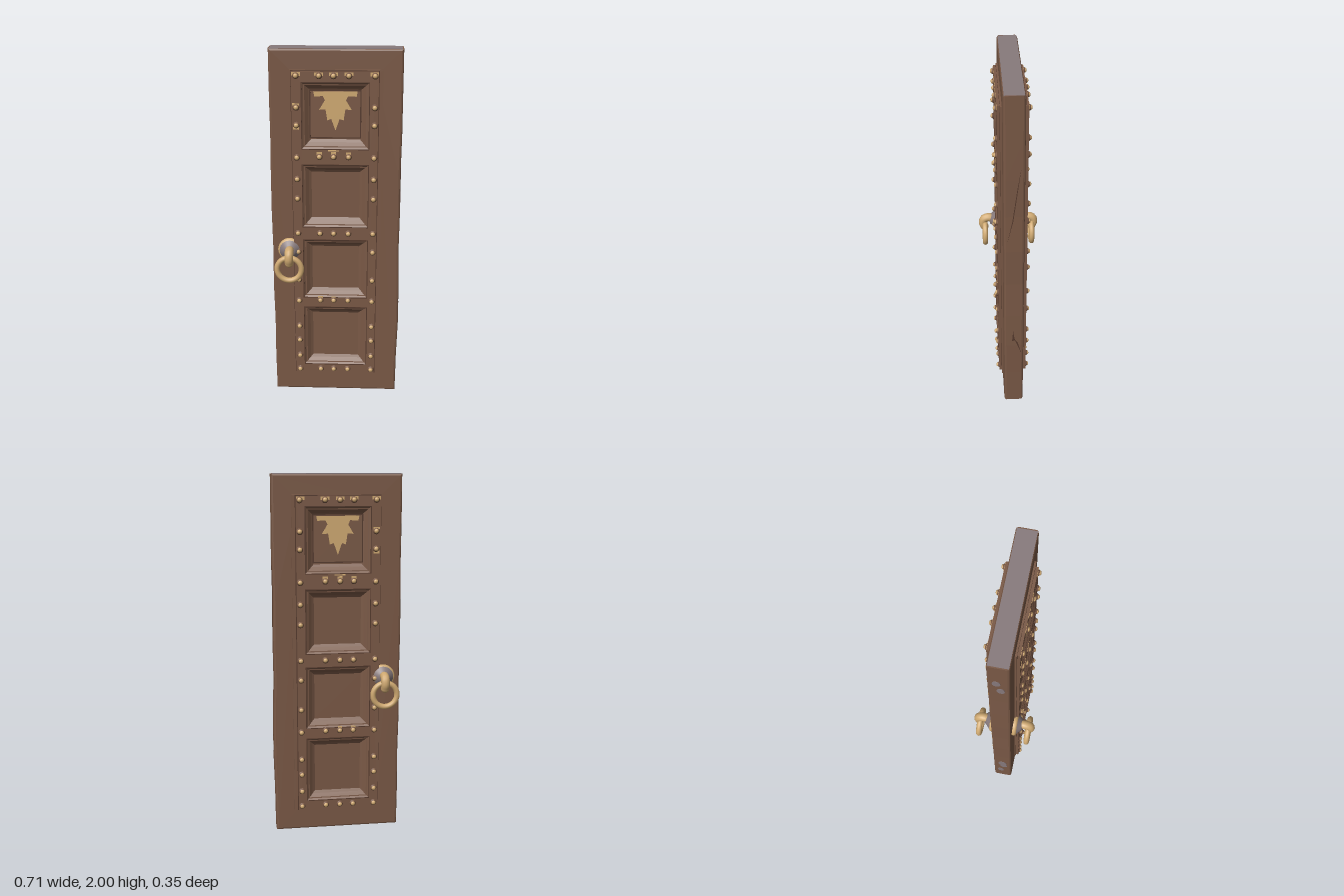
import * as THREE from 'three';

const mat = (name, color) => {
  const m = new THREE.MeshStandardMaterial({ color });
  m.name = name;
  return m;
};

export function createModel() {
  const wood = mat('brown wood', 0x7a5946);
  const dark = mat('dark wood grooves', 0x553a2d);
  const gold = mat('worn gold', 0xd0aa72);
  const grey = mat('worn grey', 0x877a7c);

  const door = new THREE.Group();
  door.name = 'door';

  const add = (parent, name, geometry, material, x = 0, y = 0, z = 0) => {
    const m = new THREE.Mesh(geometry, material);
    m.name = name;
    m.position.set(x, y, z);
    parent.add(m);
    return m;
  };
  // rectangles are [x0, x1, y0, y1]
  const grow = ([a, b, c, d], e) => [a - e, b + e, c - e, d + e];
  const flip = ([a, b, c, d], s) => (s > 0 ? [a, b, c, d] : [-b, -a, c, d]);
  const corners = ([a, b, c, d]) => [[a, c], [b, c], [b, d], [a, d]].map(p => new THREE.Vector2(...p));
  const extrude = (points, holes, depth, bevel = 0) => {
    const shape = new THREE.Shape(points);
    holes.forEach(h => shape.holes.push(new THREE.Path(corners(h).reverse())));
    return new THREE.ExtrudeGeometry(shape, {
      depth, bevelEnabled: bevel > 0, bevelSize: bevel, bevelThickness: bevel, bevelSegments: 2,
    });
  };
  const lathe = (profile, sides) => new THREE.LatheGeometry(
    profile.map(p => new THREE.Vector2(...p)), sides).rotateX(Math.PI / 2);
  // sunken panel lofted through rectangular loops, closed by a flat field
  const sunken = (rect, steps) => {
    const pos = [];
    const loops = steps.map(([inset, z]) => corners(grow(rect, -inset)).map(p => [p.x, p.y, z]));
    const quad = (a, b, c, d) => pos.push(...a, ...b, ...c, ...a, ...c, ...d);
    for (let i = 0; i + 1 < loops.length; i++) {
      for (let k = 0; k < 4; k++) {
        const n = (k + 1) % 4;
        quad(loops[i][k], loops[i][n], loops[i + 1][n], loops[i + 1][k]);
      }
    }
    quad(...loops[loops.length - 1]);
    const g = new THREE.BufferGeometry();
    g.setAttribute('position', new THREE.Float32BufferAttribute(pos, 3));
    g.computeVertexNormals();
    return g;
  };

  const frameRect = [-0.235, 0.219, 0.125, 1.885];
  const openings = [
    [-0.183, 0.172, 0.18, 0.55],
    [-0.183, 0.172, 0.61, 0.96],
    [-0.183, 0.172, 1.035, 1.39],
    [-0.183, 0.172, 1.475, 1.83],
  ];
  const well = [-0.2, 0.19, 0.15, 1.85];

  // slab with slightly worn edges
  const right = [0, 0.002, 0.008, 0.006, 0, 0.002, -0.001, 0.002, 0.001, 0];
  const left = [0, 0.002, 0, 0.004, 0.001, 0.004, 0.003, 0, 0.001, 0];
  const rowY = i => 0.011 + (1.977 * i) / 9;
  const outline = [
    ...right.map((w, i) => new THREE.Vector2(0.334 + w, rowY(i))),
    ...left.map((w, i) => new THREE.Vector2(-0.342 - w, rowY(i))).reverse(),
  ];
  add(door, 'slab', extrude(outline, [grow(well, 0.015)], 0.086, 0.011), wood, 0, 0, -0.043);
  add(door, 'wornTop', new THREE.BoxGeometry(0.686, 0.008, 0.098), grey, -0.004, 1.996, 0);

  // moulding and raised lattice run through the slab and show on both faces
  add(door, 'moulding', extrude(corners([-0.243, 0.242, 0.115, 1.893]), [well], 0.126), wood, 0, 0, -0.063);
  add(door, 'lattice', extrude(corners(frameRect), openings, 0.156), wood, 0, 0, -0.078);

  const stud = lathe([[0.019, 0], [0.015, 0.006], [0.011, 0.012]], 12);
  const cap = new THREE.SphereGeometry(0.0125, 12, 6, 0, Math.PI * 2, 0, Math.PI / 2)
    .scale(1, 0.75, 1).rotateX(Math.PI / 2);
  const studs = [];
  for (const y of [1.865, 1.7, 1.605, 1.43, 1.31, 1.2, 1, 0.89, 0.72, 0.59, 0.43, 0.34, 0.24, 0.15]) {
    studs.push([-0.21, y], [0.2, y]);
  }
  for (const y of [1.865, 1.435, 1, 0.595, 0.152]) {
    for (const x of [-0.09, -0.015, 0.065]) studs.push([x, y]);
  }

  // flecks of gold left on the rails: x, y, width, height
  const flecks = [
    ...[-0.21, -0.09, -0.015, 0.065].map(x => [x, 1.873, 0.046, 0.018]), [0.196, 1.873, 0.044, 0.018],
    ...[-0.09, -0.015, 0.065].map(x => [x, 1.45, 0.028, 0.022]),
    [-0.015, 1.468, 0.06, 0.007], [-0.212, 1.715, 0.036, 0.012], [-0.212, 1.588, 0.03, 0.014],
    [-0.09, 0.608, 0.026, 0.018], [-0.015, 0.6, 0.022, 0.034],
  ];

  const half = [[0, 1.78], [-0.115, 1.78], [-0.11, 1.755], [-0.066, 1.757], [-0.055, 1.735],
    [-0.085, 1.685], [-0.052, 1.688], [-0.043, 1.63], [-0.022, 1.637], [0, 1.575]];
  const leaf = [...half, ...half.slice(1, -1).reverse().map(([x, y]) => [-x, y])]
    .map(p => new THREE.Vector2(p[0] - 0.005, p[1]));

  // ring handle
  const makeHandle = () => {
    const h = new THREE.Group();
    h.name = 'handle';
    add(h, 'handleRim', lathe([[0.066, 0.054], [0.067, 0.066], [0.061, 0.075], [0.05, 0.077]], 24), gold, 0, 0.895, 0);
    add(h, 'handlePlate', lathe([[0.06, 0.073], [0.05, 0.083], [0.034, 0.098], [0.025, 0.108], [0, 0.11]], 24),
      grey, 0, 0.895, 0);
    const path = new THREE.CatmullRomCurve3([[0.085, 0.898], [0.115, 0.908], [0.142, 0.898], [0.149, 0.87], [0.14, 0.845]]
      .map(([z, y]) => new THREE.Vector3(0, y, z)));
    add(h, 'handleLoop', new THREE.TubeGeometry(path, 16, 0.0245, 12), gold);
    add(h, 'loopTip', new THREE.SphereGeometry(0.0245, 12, 8), gold, 0, 0.845, 0.14);
    add(h, 'handleRing', new THREE.TorusGeometry(0.067, 0.0155, 12, 36), gold, 0, 0.807, 0.137);
    return h;
  };

  // both faces: the back is turned half round, with x reversed so it mirrors the front
  for (const s of [1, -1]) {
    const face = new THREE.Group();
    face.name = s > 0 ? 'frontFace' : 'backFace';
    if (s < 0) face.rotation.y = Math.PI;
    door.add(face);

    openings.forEach((o, i) => {
      const r = flip(o, s);
      add(face, 'sunkenPanel', sunken(r, [[0, 0.078], [0.01, 0.07], [0.016, 0.069], [0.034, 0.053], [0.048, 0.044]]), wood);
      add(face, 'panelGroove', extrude(corners(grow(r, 0.002)), [grow(r, -0.002)], 0.002), dark, 0, 0, 0.077);
      // raised board behind the emblem on the top panel
      if (i === 3) {
        const t = flip([-0.138, 0.126, 1.535, 1.784], s);
        add(face, 'emblemGroove', extrude(corners(grow(t, 0.004)), [grow(t, -0.002)], 0.016), dark, 0, 0, 0.044);
        add(face, 'emblemBoard', extrude(corners(t), [], 0.015), wood, 0, 0, 0.044);
      }
    });
    const f = flip(frameRect, s);
    add(face, 'latticeGroove', extrude(corners(grow(f, 0.004)), [grow(f, -0.001)], 0.002), dark, 0, 0, 0.062);
    add(face, 'leafEmblem', extrude(leaf.map(p => new THREE.Vector2(p.x * s, p.y)), [], 0.009), gold, 0, 0, 0.058);

    for (const [x, y] of studs) {
      add(face, 'studBase', stud, wood, s * x, y, 0.077);
      add(face, 'studCap', cap, gold, s * x, y, 0.086);
    }
    for (const [x, y, w, h] of flecks) {
      add(face, 'goldFleck', new THREE.BoxGeometry(w, h, 0.003), gold, s * x, y, 0.0785);
    }
    const handle = makeHandle();
    handle.position.x = s * -0.258;
    face.add(handle);
  }

  // cracks on the left edge
  const crack = (name, x, pts) => {
    const m = add(door, name, extrude(pts.map(p => new THREE.Vector2(...p)), [], 0.003), dark, x, 0, 0);
    m.rotation.y = Math.PI / 2;
  };
  crack('lowerCrack', 0.351, [[-0.004, 0.56], [0.003, 0.5], [0.022, 0.47], [0.042, 0.39], [0.03, 0.47], [0.006, 0.49], [-0.01, 0.485]]);
  crack('upperCrack', 0.3445, [[-0.035, 1.17], [-0.005, 1.3], [0.02, 1.5], [0.035, 1.62], [0.016, 1.5], [-0.009, 1.3]]);

  // bare patches on the right edge
  for (const [y, z, r] of [[1.8, -0.01, 0.02], [1.71, 0.01, 0.02], [0.3, 0, 0.026], [0.25, 0.008, 0.022], [0.14, -0.012, 0.02]]) {
    const p = add(door, 'barePatch', new THREE.CylinderGeometry(r, r, 0.006, 14), grey, -0.3535, y, z);
    p.rotation.z = Math.PI / 2;
    p.scale.x = 1.5;
  }
  return door;
}
